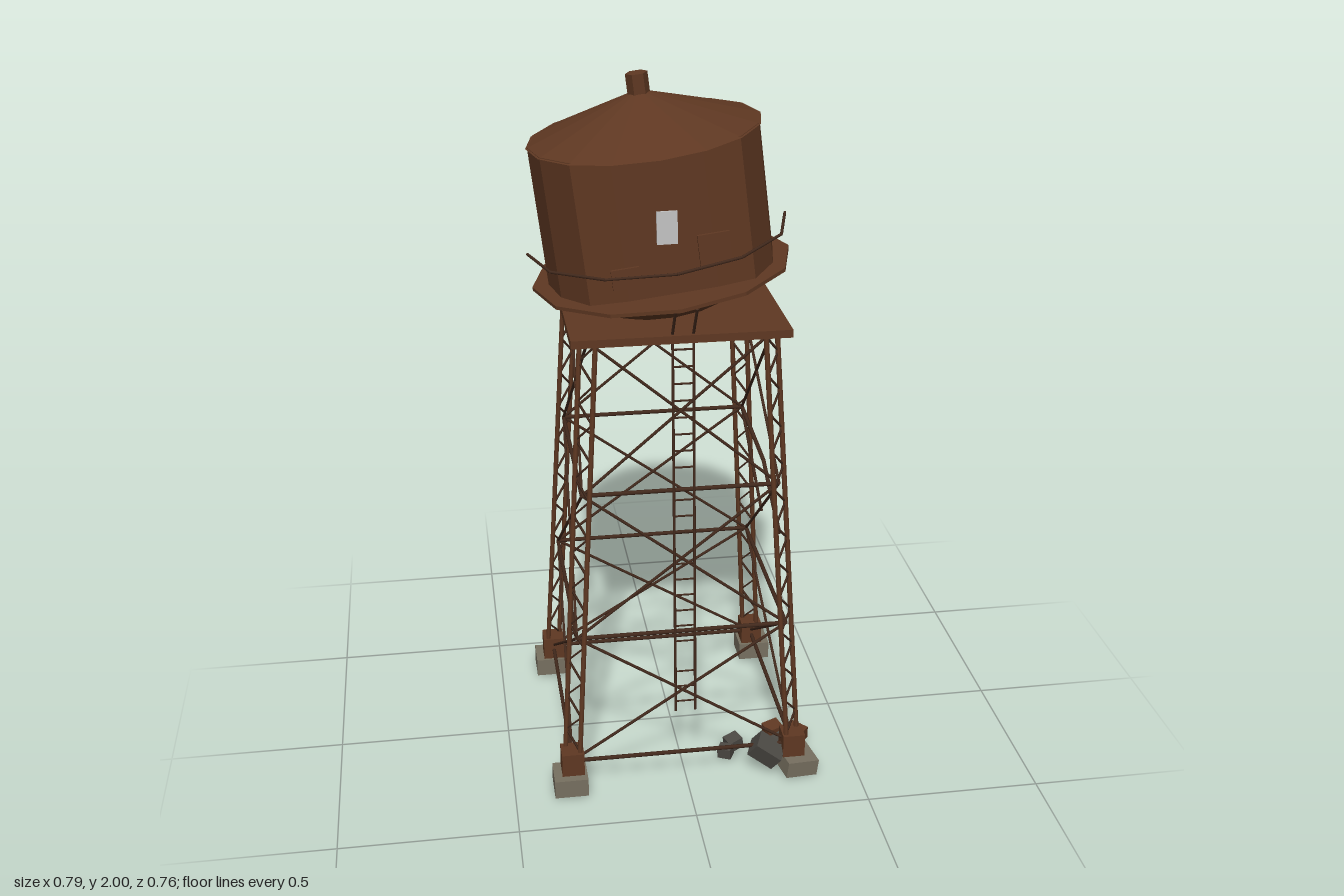
import * as THREE from 'three';
import { mergeGeometries } from 'three/addons/utils/BufferGeometryUtils.js';

const mat = (name, color) => {
  const m = new THREE.MeshStandardMaterial({ color });
  m.name = name;
  return m;
};
const V = (x, y, z) => new THREE.Vector3(x, y, z);

// flat-faced copy of a geometry
function faceted(geo) {
  const g = geo.toNonIndexed();
  g.computeVertexNormals();
  return g;
}

// straight rod between two points
function rod(a, b, r, sides = 6) {
  const d = b.clone().sub(a);
  const g = new THREE.CylinderGeometry(r, r, d.length(), sides);
  g.applyQuaternion(new THREE.Quaternion().setFromUnitVectors(V(0, 1, 0), d.clone().normalize()));
  const c = a.clone().add(b).multiplyScalar(0.5);
  return g.translate(c.x, c.y, c.z);
}

export function createModel() {
  const rust = mat('rust', 0x5f3822);
  const iron = mat('dark iron', 0x432a1d);
  const concrete = mat('concrete', 0x777060);
  const stone = mat('dark rubble', 0x4b4843);
  const white = mat('pale notice', 0xc4c4c4);

  const model = new THREE.Group();
  model.name = 'waterTower';
  const add = (parent, name, geo, material) => {
    const m = new THREE.Mesh(geo, material);
    m.name = name;
    parent.add(m);
    return m;
  };
  const box = (parent, name, material, size, pos, rot = [0, 0, 0]) => {
    const m = add(parent, name, new THREE.BoxGeometry(...size), material);
    m.position.set(...pos);
    m.rotation.set(...rot);
    return m;
  };

  // ---- tower ----
  const tower = new THREE.Group();
  tower.name = 'tower';
  tower.position.set(-0.01, -0.005 + 0.005, -0.005);
  model.add(tower);

  box(tower, 'platform', rust, [0.59, 0.022, 0.59], [0, 1.356, 0]);

  // half width of the tapering frame at a height
  const half = y => 0.322 - (y - 0.09) * 0.06;
  const corners = [[1, 1], [1, -1], [-1, -1], [-1, 1]];
  const at = (c, y) => V(c[0] * half(y), y, c[1] * half(y));

  corners.forEach((c, i) => {
    // footing: the front left block has broken loose
    if (i === 0) box(tower, 'brokenFooting', concrete, [0.096, 0.05, 0.096], [0.336, 0.03, 0.328], [0.05, 0.2, -0.12]);
    else box(tower, 'footing', concrete, [0.096, 0.055, 0.096], [c[0] * 0.33, 0.0325, c[1] * 0.33]);
    box(tower, 'legShoe', rust, [0.064, 0.07, 0.064], [c[0] * 0.322, 0.095, c[1] * 0.322]);

    // leg: two rods side by side, laced together
    const side = V(c[0], 0, -c[1]).multiplyScalar(0.019);
    const edge = (y, s) => at(c, y).addScaledVector(side, s);
    const rails = [-1, 1].map(s => rod(edge(0.1, s), edge(1.347, s), 0.0075));
    add(tower, 'leg', mergeGeometries(rails), rust);
    const lacing = [];
    const n = 22;
    for (let k = 0; k < n; k++) {
      const y0 = 0.13 + (1.21 * k) / n, y1 = 0.13 + (1.21 * (k + 1)) / n;
      const s = k % 2 ? 1 : -1;
      lacing.push(rod(edge(y0, s), edge(y1, -s), 0.0035, 4));
    }
    add(tower, 'legLacing', mergeGeometries(lacing), iron);
  });

  // horizontal struts and cross braces on each side
  const levels = [0.09, 0.48, 0.91, 1.345];
  corners.forEach((a, i) => {
    const b = corners[(i + 1) % 4];
    const damaged = i === 0;
    const struts = [], braces = [];
    for (let k = 0; k < 3; k++) {
      const y0 = levels[k], y1 = levels[k + 1];
      if (!(damaged && k === 2)) struts.push(rod(at(a, y0), at(b, y0), 0.006));
      braces.push(rod(at(a, y1), at(b, y0), 0.0042));
      if (!(damaged && k === 1)) braces.push(rod(at(a, y0), at(b, y1), 0.0042));
    }
    add(tower, 'strut', mergeGeometries(struts), iron);
    add(tower, 'crossBrace', mergeGeometries(braces), iron);
    if (damaged) {
      // sagging strut and snapped brace
      const top = at(b, 0.91), mid = V(0.285, 0.855, 0.005);
      add(tower, 'bentStrut', mergeGeometries([rod(top, mid, 0.006), rod(mid, V(0.28, 0.75, 0.262), 0.006)]), iron);
      add(tower, 'snappedBrace', rod(top, V(0.3, 0.65, -0.075), 0.0045), iron);
    }
  });

  // ---- ladder, with a few rungs missing ----
  const ladder = [];
  const ladderZ = y => 0.345 - (y - 0.25) * 0.06;
  for (const x of [-0.036, 0.02]) {
    ladder.push(rod(V(x, 0.25, ladderZ(0.25)), V(x, 1.37, ladderZ(1.37)), 0.004));
    ladder.push(rod(V(x, 1.37, ladderZ(1.37)), V(x, 1.455, 0.335), 0.004));
  }
  for (let k = 0; k < 23; k++) {
    if ([3, 10, 14].includes(k)) continue;
    const y = 0.28 + k * 0.0475;
    ladder.push(rod(V(-0.036, y, ladderZ(y)), V(0.02, y, ladderZ(y)), 0.003, 4));
  }
  add(model, 'ladder', mergeGeometries(ladder), iron);

  // ---- leaning tank ----
  const tank = new THREE.Group();
  tank.name = 'tank';
  tank.position.set(-0.024, 1.458, -0.004);
  tank.rotation.z = 0.122;
  model.add(tank);

  // wall with a caved-in front
  const dent = 0.237;
  const wall = new THREE.CylinderGeometry(0.313, 0.313, 0.39, 16).translate(0, 0.195, 0);
  const p = wall.attributes.position;
  for (let i = 0; i < p.count; i++) p.setZ(i, Math.min(p.getZ(i), dent));
  add(tank, 'tankWall', faceted(wall), rust);
  add(tank, 'tankBottom', faceted(new THREE.CylinderGeometry(0.31, 0.19, 0.078, 16)), rust).position.y = -0.039;
  add(tank, 'roof', faceted(new THREE.ConeGeometry(0.318, 0.112, 16)), rust).position.y = 0.443;
  const vent = add(tank, 'roofVent', faceted(new THREE.CylinderGeometry(0.03, 0.03, 0.065, 6)), rust);
  vent.position.y = 0.51;
  vent.rotation.y = Math.PI / 6;
  add(tank, 'walkway', faceted(new THREE.CylinderGeometry(0.358, 0.358, 0.01, 12)), rust);

  // remaining front half of the handrail
  const rail = [];
  const railAt = k => V(0.357 * Math.cos((k * Math.PI) / 6), 0.1, 0.357 * Math.sin((k * Math.PI) / 6));
  for (let k = 0; k < 6; k++) rail.push(rod(railAt(k), railAt(k + 1), 0.004));
  add(tank, 'handrail', mergeGeometries(rail), iron);

  // plates on the caved-in front
  box(tank, 'patch', rust, [0.085, 0.085, 0.009], [0.12, 0.112, dent + 0.004]);
  box(tank, 'patch', rust, [0.075, 0.055, 0.009], [-0.12, 0.07, dent + 0.004]);
  box(tank, 'notice', white, [0.055, 0.088, 0.006], [0.003, 0.188, dent + 0.003], [0, 0, -0.1]);

  // ---- rubble by the broken footing ----
  box(model, 'rubble', stone, [0.085, 0.055, 0.06], [0.235, 0.075, 0.325], [0.3, -0.4, -0.5]);
  box(model, 'rubble', stone, [0.06, 0.05, 0.05], [0.305, 0.032, 0.235], [0.1, 0.5, 0.1]);
  box(model, 'rubble', stone, [0.045, 0.035, 0.04], [0.16, 0.026, 0.2], [0.1, 0.4, 0.15]);
  box(model, 'rubble', stone, [0.04, 0.032, 0.035], [0.13, 0.024, 0.24], [0.1, -0.5, 0.1]);
  box(model, 'rustyScrap', rust, [0.055, 0.04, 0.06], [0.35, 0.03, 0.19], [0.1, 0.8, 0.05]);
  box(model, 'rustyScrap', rust, [0.05, 0.035, 0.045], [0.29, 0.028, 0.155], [0.1, 0.3, 0.1]);

  return model;
}
